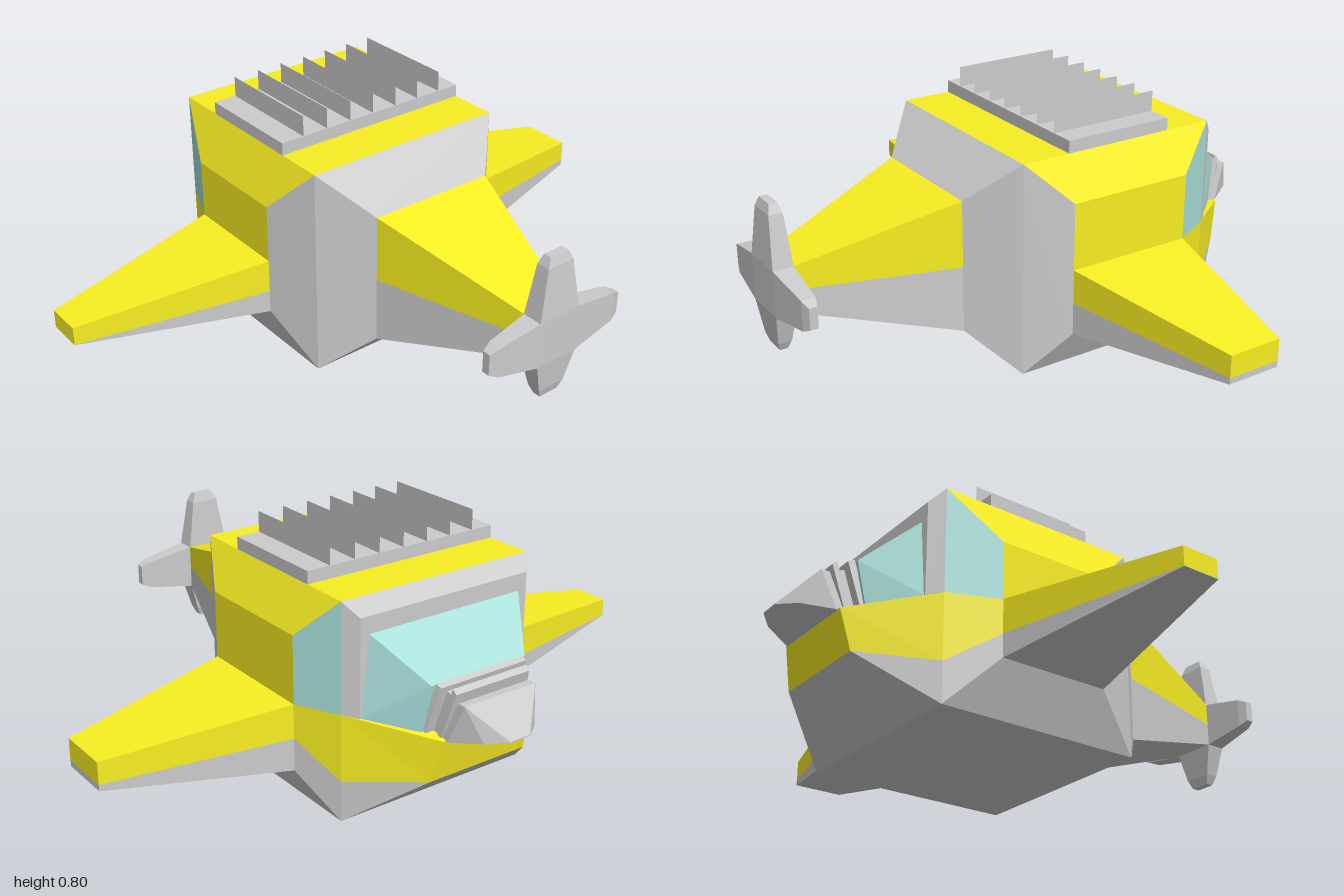
import * as THREE from 'three';
import { ConvexGeometry } from 'three/addons/geometries/ConvexGeometry.js';

const paint = (color) => new THREE.MeshStandardMaterial({ color, flatShading: true, side: THREE.DoubleSide });
const V = (p) => new THREE.Vector3(...p);
const CZ = -0.02, MID = 0.345; // hull centre line

export function createModel() {
  const model = new THREE.Group();
  const grey = paint(0xcccccc), yellow = paint(0xf8ee22), glass = paint(0xa8dfda);

  const add = (name, geometry, material, parent = model) => {
    const mesh = new THREE.Mesh(geometry, material);
    mesh.name = name;
    parent.add(mesh);
    return mesh;
  };

  // Convex faceted solid around a few corners
  const solid = (name, material, pts, parent) => add(name, new ConvexGeometry(pts.map(V)), material, parent);

  // Flat panel, fanned and turned to face away from the hull centre
  const panel = (name, material, pts, parent) => {
    const p = pts.map(V);
    const n = p[1].clone().sub(p[0]).cross(p[2].clone().sub(p[0]));
    if (n.dot(p[0].clone().sub(new THREE.Vector3(-0.15, MID, CZ))) < 0) p.reverse();
    const tris = [];
    for (let i = 1; i < p.length - 1; i++) tris.push(p[0], p[i], p[i + 1]);
    const g = new THREE.BufferGeometry().setFromPoints(tris);
    g.computeVertexNormals();
    return add(name, g, material, parent);
  };

  // Four corners of a rectangle lying across each axis
  const rectX = (x, y0, y1, z0, z1) => [[x, y0, z0], [x, y1, z0], [x, y1, z1], [x, y0, z1]];
  const rectY = (y, x0, x1, z0, z1) => [[x0, y, z0], [x1, y, z0], [x1, y, z1], [x0, y, z1]];
  const rectZ = (z, x0, x1, y0, y1) => [[x0, y0, z], [x1, y0, z], [x1, y1, z], [x0, y1, z]];

  // Hull core
  const X0 = -0.5, X1 = 0.19, TOP = 0.69, ZL = 0.325, ZR = -0.365;
  panel('hullRoof', yellow, rectY(TOP, X0, X1, ZR, ZL));
  panel('hullFloor', grey, rectY(0, X0, X1, ZR, ZL));

  // Bevelled flanks, each with its wing
  const flanks = [
    { side: 'front', z0: ZL, z1: 0.39, a: -0.34, b: 0.03, lo: 0.16, hi: 0.535, tip: [-0.217, -0.096, 0.225, 0.285], end: 1, cut: [0.235, 0.226] },
    { side: 'back', z0: ZR, z1: -0.435, a: -0.365, b: 0.055, lo: 0.13, hi: 0.56, tip: [-0.243, -0.066, 0.195, 0.285], end: -1, cut: [0.235, 0.215] },
  ];
  for (const { side, z0, z1, a, b, lo, hi, tip, end, cut } of flanks) {
    const flank = new THREE.Group();
    flank.name = side + 'Flank';
    model.add(flank);
    panel('flankWall', yellow, rectZ(z1, a, b, lo, hi), flank);
    panel('flankTopBevel', yellow, [[X0, TOP, z0], [X1, TOP, z0], [b, hi, z1], [a, hi, z1]], flank);
    panel('flankBottomBevel', grey, [[X0, 0, z0], [X1, 0, z0], [b, lo, z1], [a, lo, z1]], flank);
    panel('flankTailBevel', grey, [[X1, 0, z0], [X1, TOP, z0], [b, hi, z1], [b, lo, z1]], flank);
    panel('sideWindow', glass, [[X0, MID, z0], [X0, TOP, z0], [a, hi, z1], [a, MID, z1]], flank);
    panel('cheekBevel', yellow, [[X0, 0.13, z0], [X0, MID, z0], [a, MID, z1], [a, 0.235, z1]], flank);
    panel('cheekLowerBevel', grey, [[X0, 0, z0], [X0, 0.13, z0], [a, 0.235, z1], [a, lo, z1]], flank);

    // Wing: coloured upper layer over a grey underside
    const [t0, t1, tl, th] = tip;
    solid('wingUpper', yellow, [...rectZ(z1, a, b, cut[0], MID), ...rectZ(end, t0, t1, cut[1], th)], flank);
    solid('wingUnderside', grey, [...rectZ(z1, a, b, lo, cut[0]), ...rectZ(end, t0, t1, tl, cut[1])], flank);

    // Nose flank
    const s = Math.sign(end), zE = CZ + s * 0.18, zM = CZ + s * 0.16;
    panel('noseCheek', yellow, [[X0, 0.13, z0], [X0, MID, z0], [-0.73, 0.3, zM], [-0.7, 0.165, zE]], flank);
    panel('noseLowerCheek', grey, [[X0, 0, z0], [X0, 0.13, z0], [-0.7, 0.165, zE]], flank);
  }

  // Nose underside and chin
  const nz = [CZ - 0.18, CZ + 0.18], mz = [CZ - 0.16, CZ + 0.16];
  panel('noseUnderside', grey, [[X0, 0, ZR], [X0, 0, ZL], [-0.7, 0.165, nz[1]], [-0.7, 0.165, nz[0]]]);
  panel('noseChin', yellow, [[-0.73, 0.3, mz[0]], [-0.73, 0.3, mz[1]], [-0.7, 0.165, nz[1]], [-0.7, 0.165, nz[0]]]);
  panel('noseSill', yellow, [[X0, MID, ZR], [X0, MID, ZL], [-0.73, 0.3, mz[1]], [-0.73, 0.3, mz[0]]]);

  // Windscreen and its frame
  solid('windscreenFrame', grey, [...rectX(X0, MID, TOP, ZR, ZL), ...rectX(-0.542, 0.338, 0.645, -0.33, 0.29)]);
  solid('windscreen', glass, [
    ...[-1, 1].flatMap((s) => [
      [-0.54, 0.338, CZ + s * 0.305], [-0.54, 0.593, CZ + s * 0.28],
      [-0.665, 0.312, CZ + s * 0.19], [-0.69, 0.46, CZ + s * 0.175],
    ]),
  ]);

  // Snout: tilted collars and a blunt cone; each slice is bottom, top, half width
  const slice = (bx, by, tx, ty, w) => [-1, 1].flatMap((s) => [[bx, by, CZ + s * w], [tx, ty, CZ + s * w * 0.88]]);
  solid('snoutCollar', grey, [...slice(-0.655, 0.312, -0.693, 0.465, 0.185), ...slice(-0.675, 0.306, -0.712, 0.457, 0.18)]);
  solid('snoutNeck', grey, [...slice(-0.675, 0.306, -0.708, 0.44, 0.15), ...slice(-0.7, 0.302, -0.735, 0.43, 0.15)]);
  solid('snoutRing', grey, [...slice(-0.695, 0.302, -0.735, 0.458, 0.155), ...slice(-0.712, 0.298, -0.75, 0.445, 0.155)]);
  solid('snoutCone', grey, [
    ...slice(-0.712, 0.3, -0.755, 0.42, 0.15), ...slice(-0.735, 0.297, -0.782, 0.42, 0.15),
    ...slice(-0.825, 0.312, -0.826, 0.37, 0.095), ...slice(-0.87, 0.318, -0.87, 0.322, 0.037),
  ]);

  // Tail: bevel, then a boom in two colours
  solid('tailBevel', grey, [...rectX(X1, 0, TOP, ZR, ZL), ...rectX(0.32, 0.13, 0.56, -0.235, 0.195)]);
  solid('tailBoomUpper', yellow, [...rectX(0.32, MID, 0.56, -0.235, 0.195), ...rectX(0.805, MID, 0.42, -0.095, 0.055)]);
  solid('tailBoomLower', grey, [...rectX(0.32, 0.13, MID, -0.235, 0.195), ...rectX(0.805, 0.27, MID, -0.095, 0.055)]);

  // Propeller: hub with four tapered blades of slightly different lengths
  const propeller = new THREE.Group();
  propeller.name = 'propeller';
  propeller.position.set(0.835, MID, CZ);
  model.add(propeller);
  add('propellerHub', new THREE.BoxGeometry(0.066, 0.15, 0.15), grey, propeller);
  [0.266, 0.245, 0.205, 0.266].forEach((length, i) => {
    const blade = solid('propellerBlade', grey, [
      ...rectY(0.075, -0.033, 0.033, -0.075, 0.075),
      ...rectY(length - 0.03, -0.022, 0.022, -0.048, 0.048),
      ...rectY(length, -0.013, 0.013, -0.034, 0.034),
    ], propeller);
    blade.rotation.x = i * Math.PI / 2;
  });

  // Roof radiator: plate with a row of thin upright fins
  const plate = add('radiatorPlate', new THREE.BoxGeometry(0.37, 0.04, 0.69), grey);
  plate.position.set(-0.155, 0.71, CZ);
  for (let i = 0; i < 7; i++) {
    const fin = add('radiatorFin', new THREE.PlaneGeometry(0.37, 0.068), grey);
    fin.position.set(-0.155, 0.762, CZ + (i - 3) * 0.089);
  }
  return model;
}
